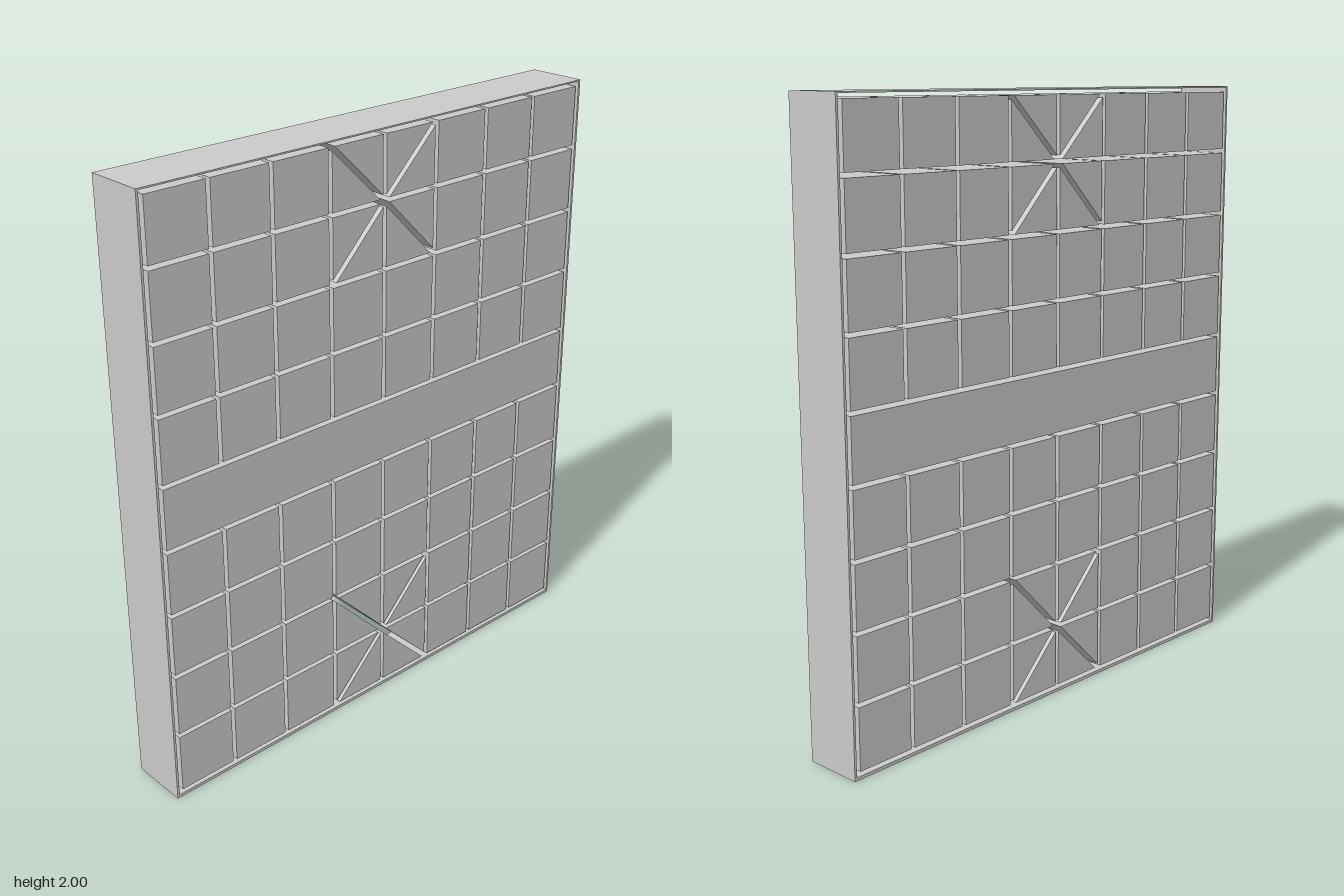
import * as THREE from 'three';

const DEPTH = 0.2;
const HALF_WIDTH = 0.89;
const HEIGHT = 2;
const GAP = 0.007;       // half the width of a straight slot
const CUT = 0.012;       // shift of a tile corner beside a diagonal slot

// Slot centre lines
const columns = [-0.875, -0.657, -0.437, -0.218, 0, 0.218, 0.438, 0.657, 0.875];
const rows = [0.018, 0.235, 0.456, 0.675, 0.897, 1.113, 1.336, 1.556, 1.776, 1.988];

const material = new THREE.MeshStandardMaterial({ color: 0xcccccc });

// Straight-walled slab through the full thickness of the board
function slab(shape, name) {
  const geometry = new THREE.ExtrudeGeometry(shape, { depth: DEPTH, bevelEnabled: false });
  geometry.translate(0, 0, -DEPTH / 2);
  const mesh = new THREE.Mesh(geometry, material);
  mesh.name = name;
  return mesh;
}

function polygon(points) {
  return new THREE.Shape(points.map(([x, y]) => new THREE.Vector2(x, y)));
}

const rectangle = (x0, y0, x1, y1) => polygon([[x0, y0], [x1, y0], [x1, y1], [x0, y1]]);

export function createModel() {
  const board = new THREE.Group();
  board.name = 'gameBoard';

  // Thin rim around all tiles
  const rim = rectangle(-HALF_WIDTH, 0, HALF_WIDTH, HEIGHT);
  rim.holes.push(rectangle(columns[0] - GAP, rows[0] - GAP, columns[8] + GAP, rows[9] + GAP));
  board.add(slab(rim, 'rim'));

  const tiles = new THREE.Group();
  tiles.name = 'tiles';
  board.add(tiles);

  for (let r = 0; r < 9; r++) {
    const y0 = rows[r] + GAP, y1 = rows[r + 1] - GAP;

    // Undivided strip across the middle
    if (r === 4) {
      board.add(slab(rectangle(columns[0] + GAP, y0, columns[8] - GAP, y1), 'middleStrip'));
      continue;
    }

    for (let c = 0; c < 8; c++) {
      const x0 = columns[c] + GAP, x1 = columns[c + 1] - GAP;
      const crossed = (c === 3 || c === 4) && (r < 2 || r > 6);
      if (!crossed) {
        tiles.add(slab(rectangle(x0, y0, x1, y1), 'squareTile'));
        continue;
      }

      // Tiles of the two crosses are split by a diagonal slot
      const lowerRow = r === 0 || r === 7;
      const rising = lowerRow === (c === 3);
      const halves = rising
        ? [[[x0 + CUT, y0], [x1, y0], [x1, y1 - CUT]],
           [[x0, y0 + CUT], [x1 - CUT, y1], [x0, y1]]]
        : [[[x0, y0], [x1 - CUT, y0], [x0, y1 - CUT]],
           [[x1, y0 + CUT], [x1, y1], [x0 + CUT, y1]]];
      for (const half of halves) tiles.add(slab(polygon(half), 'triangleTile'));
    }
  }
  return board;
}
